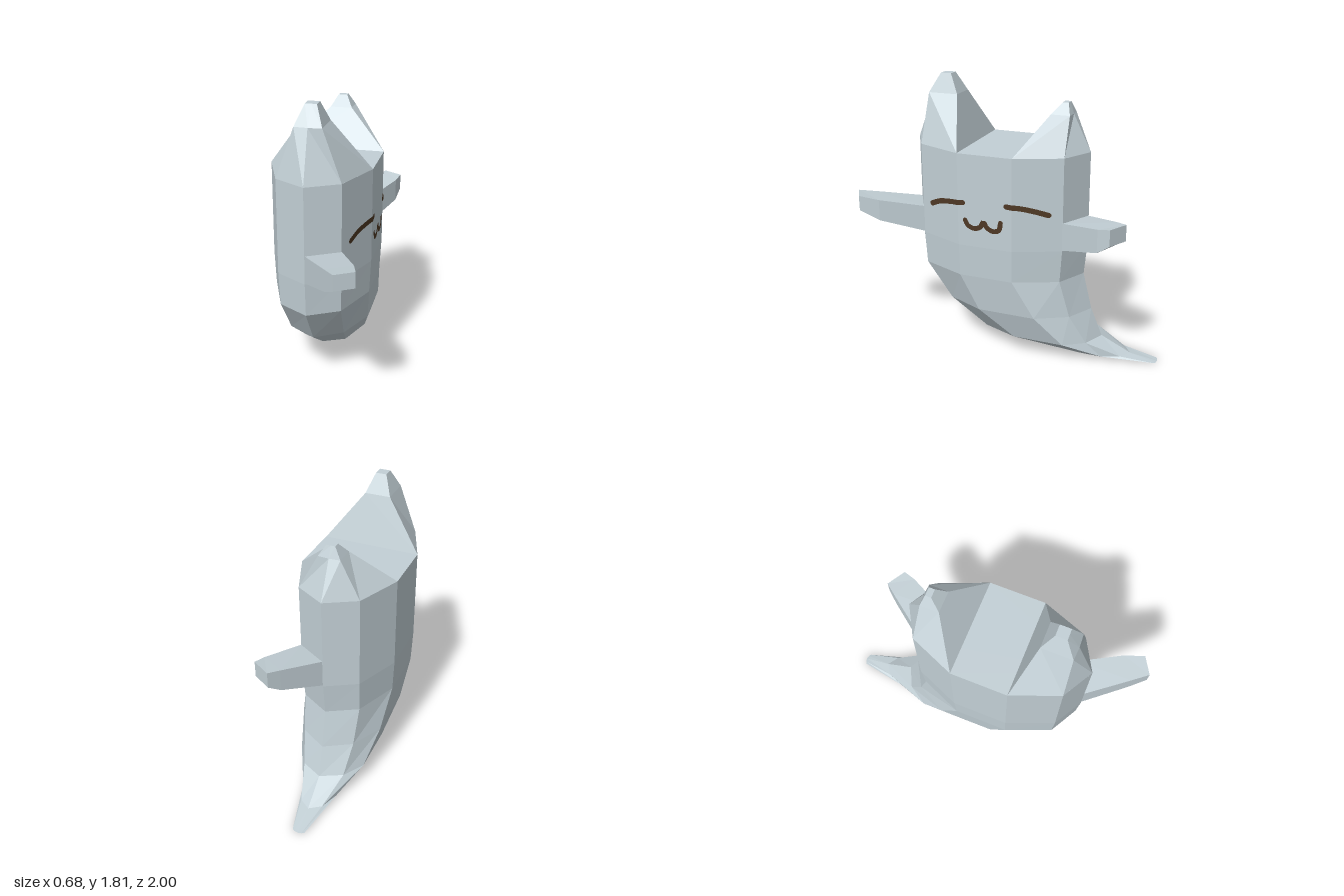
import * as THREE from 'three';

const bodyMaterial = new THREE.MeshStandardMaterial({ color: 0xc3d0d6, flatShading: true });
bodyMaterial.name = 'paleBlueGrey';
const faceMaterial = new THREE.MeshStandardMaterial({ color: 0x4d3723, side: THREE.DoubleSide });
faceMaterial.name = 'darkBrown';

// Closed solid through rings of equal point count, capped at both ends.
function loft(name, rings) {
  const n = rings[0].length;
  const tris = [];
  for (let r = 0; r < rings.length - 1; r++) {
    for (let i = 0; i < n; i++) {
      const j = (i + 1) % n;
      const a = rings[r][i], b = rings[r][j], c = rings[r + 1][j], d = rings[r + 1][i];
      tris.push([a, b, c], [a, c, d]);
    }
  }
  const first = rings[0], last = rings[rings.length - 1];
  for (let i = 1; i < n - 1; i++) {
    tris.push([first[0], first[i + 1], first[i]], [last[0], last[i], last[i + 1]]);
  }
  // Turn the faces outward whichever way the rings run.
  const v = tris.map(t => t.map(p => new THREE.Vector3(...p)));
  const origin = v[0][0].clone();
  let volume = 0;
  for (const [a, b, c] of v) {
    volume += a.clone().sub(origin).dot(b.clone().sub(origin).cross(c.clone().sub(origin)));
  }
  if (volume < 0) tris.forEach(t => t.reverse());
  const geometry = new THREE.BufferGeometry();
  geometry.setAttribute('position', new THREE.Float32BufferAttribute(tris.flat(2), 3));
  geometry.computeVertexNormals();
  const mesh = new THREE.Mesh(geometry, bodyMaterial);
  mesh.name = name;
  return mesh;
}

// Ten-sided body ring; z runs from the front corner to the back corner.
function bodyRing(y, cx, half, z) {
  const w = [0, 0.62, 1, 1, 0.62, 0];
  const ring = z.map((zz, i) => [cx + half * w[i], y, zz]);
  for (let i = 4; i > 0; i--) ring.push([cx - half * w[i], y, z[i]]);
  return ring;
}

// Five-sided ear ring: inner corner, outer corner, outer point, and mirrored.
function earRing(y, cx, innerW, outerW, inner, outer, point) {
  return [
    [cx + innerW, y, inner], [cx + outerW, y, outer], [cx, y, point],
    [cx - outerW, y, outer], [cx - innerW, y, inner],
  ];
}

// Four-cornered arm ring from an inner and an outer upright edge.
function armRing([xi, zi, lowI, highI], [xo, zo, lowO, highO]) {
  return [[xi, lowI, zi], [xo, lowO, zo], [xo, highO, zo], [xi, highI, zi]];
}

// Depth of the body's faceted side under the painted face.
function sideX(z) {
  if (z > 0.25) return 0.29 - (z - 0.25) * 0.4;
  if (z < -0.11) return 0.29 + (z + 0.11) * 0.41;
  return 0.29;
}

// Thin painted line with round ends, laid on the body's side.
function paintedLine(name, points, width) {
  const curve = new THREE.CatmullRomCurve3(points.map(([z, y]) => new THREE.Vector3(0, y, z)));
  const samples = 40;
  const pos = [];
  const put = (y, z) => pos.push(sideX(z) + 0.005, y, z);
  const edges = [];
  for (let i = 0; i <= samples; i++) {
    const p = curve.getPointAt(i / samples), t = curve.getTangentAt(i / samples);
    const dy = t.z * width / 2, dz = -t.y * width / 2;
    edges.push([[p.y + dy, p.z + dz], [p.y - dy, p.z - dz]]);
  }
  for (let i = 0; i < samples; i++) {
    const [a, b] = edges[i], [c, d] = edges[i + 1];
    for (const q of [a, b, c, c, b, d]) put(...q);
  }
  for (const end of [points[0], points[points.length - 1]]) {
    for (let k = 0; k < 12; k++) {
      put(end[1], end[0]);
      for (const m of [k + 1, k]) {
        const a = m * Math.PI / 6;
        put(end[1] + Math.sin(a) * width / 2, end[0] + Math.cos(a) * width / 2);
      }
    }
  }
  const geometry = new THREE.BufferGeometry();
  geometry.setAttribute('position', new THREE.Float32BufferAttribute(pos, 3));
  // One outward normal keeps the paint even.
  geometry.setAttribute('normal', new THREE.Float32BufferAttribute(
    pos.map((_, i) => (i % 3 === 0 ? 1 : 0)), 3));
  const mesh = new THREE.Mesh(geometry, faceMaterial);
  mesh.name = name;
  return mesh;
}

export function createModel() {
  const model = new THREE.Group();
  model.name = 'ghost';

  // Body sweeping down and back into a pointed tail
  model.add(loft('bodyAndTail', [
    bodyRing(0, -0.06, 0.04, [-0.93, -0.94, -0.96, -0.985, -0.995, -1]),
    bodyRing(0.03, -0.047, 0.118, [-0.35, -0.39, -0.51, -0.65, -0.77, -0.82]),
    bodyRing(0.13, -0.035, 0.225, [0.205, 0.14, -0.085, -0.42, -0.555, -0.625]),
    bodyRing(0.32, -0.027, 0.278, [0.48, 0.375, 0.135, -0.245, -0.45, -0.55]),
    bodyRing(0.565, -0.025, 0.305, [0.645, 0.54, 0.25, -0.105, -0.385, -0.49]),
    bodyRing(0.78, -0.025, 0.315, [0.66, 0.55, 0.25, -0.11, -0.4, -0.51]),
    bodyRing(1.38, -0.025, 0.315, [0.66, 0.55, 0.25, -0.11, -0.4, -0.51]),
  ]));

  // Ears
  model.add(loft('frontEar', [
    earRing(1.38, -0.025, 0.315, 0.195, 0.25, 0.55, 0.66),
    earRing(1.69, -0.027, 0.083, 0.083, 0.345, 0.54, 0.545),
    earRing(1.81, -0.025, 0.035, 0.035, 0.405, 0.475, 0.475),
  ]));
  model.add(loft('backEar', [
    earRing(1.38, -0.025, 0.315, 0.195, -0.11, -0.4, -0.51),
    earRing(1.61, -0.025, 0.07, 0.07, -0.27, -0.39, -0.395),
    earRing(1.68, -0.027, 0.028, 0.028, -0.33, -0.368, -0.368),
  ]));

  // Arms, each reaching out and toward the face side
  model.add(loft('frontArm', [
    armRing([-0.025, 0.655, 0.785, 0.96], [0.17, 0.545, 0.785, 0.96]),
    armRing([0.155, 0.905, 0.88, 1.015], [0.3, 0.81, 0.87, 1.01]),
    armRing([0.225, 1, 0.937, 1.035], [0.335, 0.935, 0.937, 1.035]),
  ]));
  model.add(loft('backArm', [
    armRing([-0.025, -0.505, 0.785, 0.965], [0.17, -0.395, 0.785, 0.965]),
    armRing([0.14, -0.735, 0.865, 1.01], [0.29, -0.65, 0.855, 1.005]),
    armRing([0.19, -0.8, 0.915, 1.02], [0.31, -0.73, 0.915, 1.02]),
  ]));

  // Painted face
  model.add(paintedLine('frontEye',
    [[0.47, 1.003], [0.4, 1.035], [0.31, 1.055], [0.215, 1.067]], 0.034));
  model.add(paintedLine('backEye',
    [[-0.075, 1.075], [-0.15, 1.068], [-0.24, 1.047], [-0.32, 1.022]], 0.034));
  model.add(paintedLine('mouth', [
    [0.2, 0.953], [0.18, 0.92], [0.14, 0.905], [0.1, 0.918], [0.075, 0.955],
    [0.055, 0.922], [0.015, 0.902], [-0.025, 0.913], [-0.038, 0.963],
  ], 0.032));

  return model;
}
